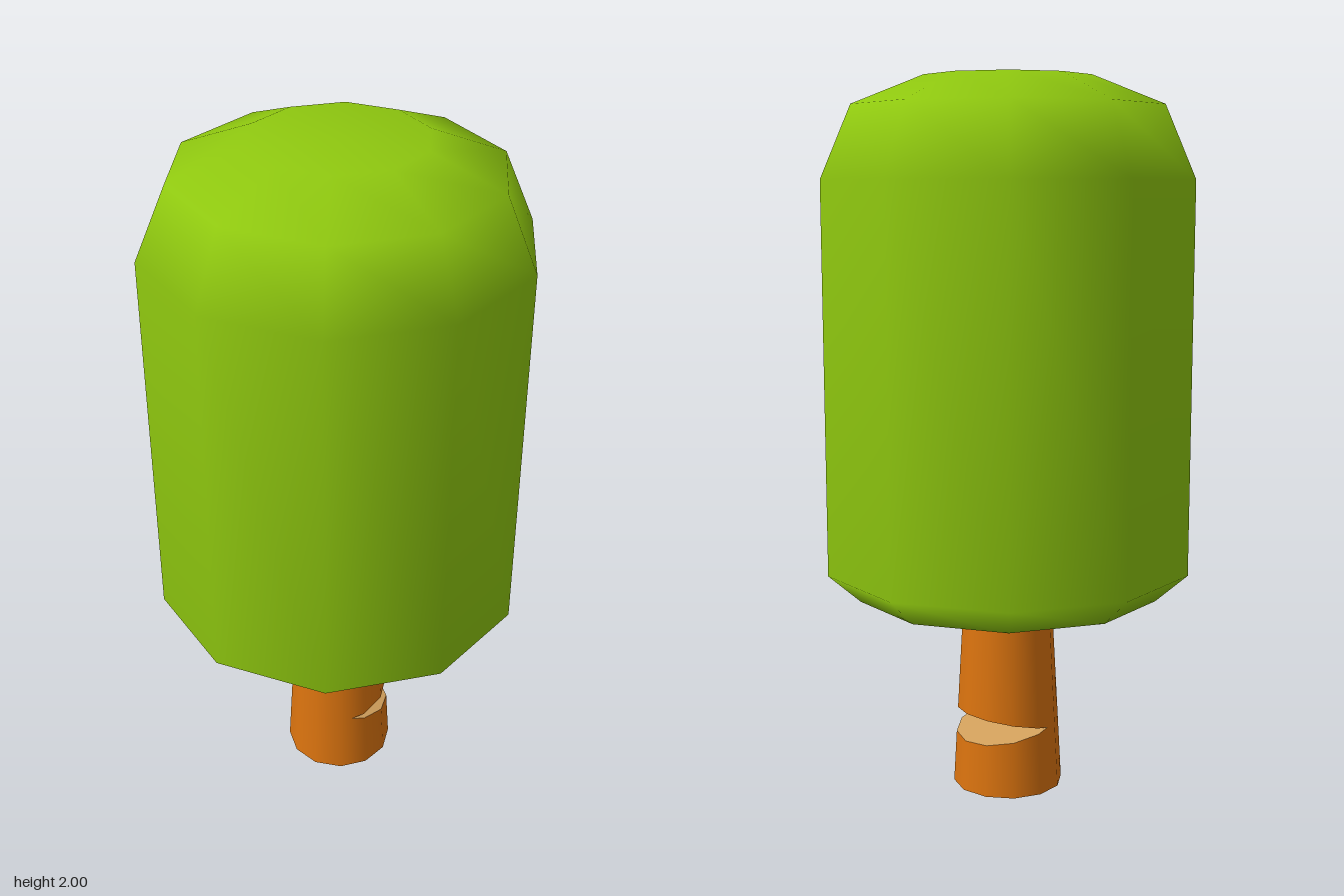
import * as THREE from 'three';

const leafGreen = new THREE.MeshStandardMaterial({ name: 'leafGreen', color: 0x8fc80f });
const barkOrange = new THREE.MeshStandardMaterial({ name: 'barkOrange', color: 0xdc740f });
const cutWood = new THREE.MeshStandardMaterial({ name: 'cutWood', color: 0xd2a05c });

// Unit outline of the 12-sided trunk; the two extra points are the ends of the notch's inner edge
const outline = [[-0.274, -0.927]];
for (let deg = -90; deg <= 90; deg += 30) {
  const a = THREE.MathUtils.degToRad(deg);
  outline.push([Math.cos(a), Math.sin(a)]);
}
outline.push([-0.274, 0.927]);
for (let deg = 120; deg <= 240; deg += 30) {
  const a = THREE.MathUtils.degToRad(deg);
  outline.push([Math.cos(a), Math.sin(a)]);
}
const NOTCH_POINTS = 9;

// Ring of tapered trunk points, with height given by a function of the unit x
function ring(heightAt) {
  return outline.map(([x, z]) => {
    const y = heightAt(x);
    const r = 0.157 - 0.055 * y;
    return new THREE.Vector3(x * r, y, z * r);
  });
}

// Smooth wall between two rings
function wall(low, high) {
  const pos = [], nor = [], index = [];
  const n = low.length;
  for (let i = 0; i < n; i++) {
    for (const p of [low[i], high[i]]) {
      const d = new THREE.Vector3(p.x, 0, p.z).normalize();
      pos.push(p.x, p.y, p.z);
      nor.push(d.x, 0.055, d.z);
    }
    const a = 2 * i, b = 2 * ((i + 1) % n);
    index.push(a, a + 1, b + 1, a, b + 1, b);
  }
  const g = new THREE.BufferGeometry();
  g.setAttribute('position', new THREE.Float32BufferAttribute(pos, 3));
  g.setAttribute('normal', new THREE.Float32BufferAttribute(nor, 3));
  g.setIndex(index);
  g.normalizeNormals();
  return g;
}

// Flat face fanned over a run of ring points
function fan(points, facingUp) {
  const index = [];
  for (let i = 1; i < points.length - 1; i++) {
    index.push(0, ...(facingUp ? [i + 1, i] : [i, i + 1]));
  }
  const g = new THREE.BufferGeometry().setFromPoints(points);
  g.setIndex(index);
  g.computeVertexNormals();
  return g;
}

export function createModel() {
  const model = new THREE.Group();
  model.name = 'tree';
  const add = (name, geometry, material) => {
    const mesh = new THREE.Mesh(geometry, material);
    mesh.name = name;
    model.add(mesh);
  };

  // Ten-sided smooth crown, one corner pointing forward
  const profile = [[0, 0.57], [0.43, 0.57], [0.52, 0.65], [0.52, 1.725], [0.435, 1.92], [0.235, 2], [0, 2]]
    .map(([r, y]) => new THREE.Vector2(r, y));
  add('crown', new THREE.LatheGeometry(profile, 10), leafGreen);

  // Trunk split by a wedge-shaped notch open towards +x
  const opening = (x) => 0.04 * Math.max(0, (x + 0.274) / 1.274);
  const base = ring(() => 0);
  const notchLow = ring((x) => 0.185 - opening(x));
  const notchHigh = ring((x) => 0.185 + opening(x));
  const top = ring(() => 0.6);
  add('lowerTrunk', wall(base, notchLow), barkOrange);
  add('upperTrunk', wall(notchHigh, top), barkOrange);
  add('trunkBase', fan(base, false), barkOrange);

  // Bare wood inside the notch
  add('notchFloor', fan(notchLow.slice(0, NOTCH_POINTS), true), cutWood);
  add('notchCeiling', fan(notchHigh.slice(0, NOTCH_POINTS), false), cutWood);

  return model;
}
